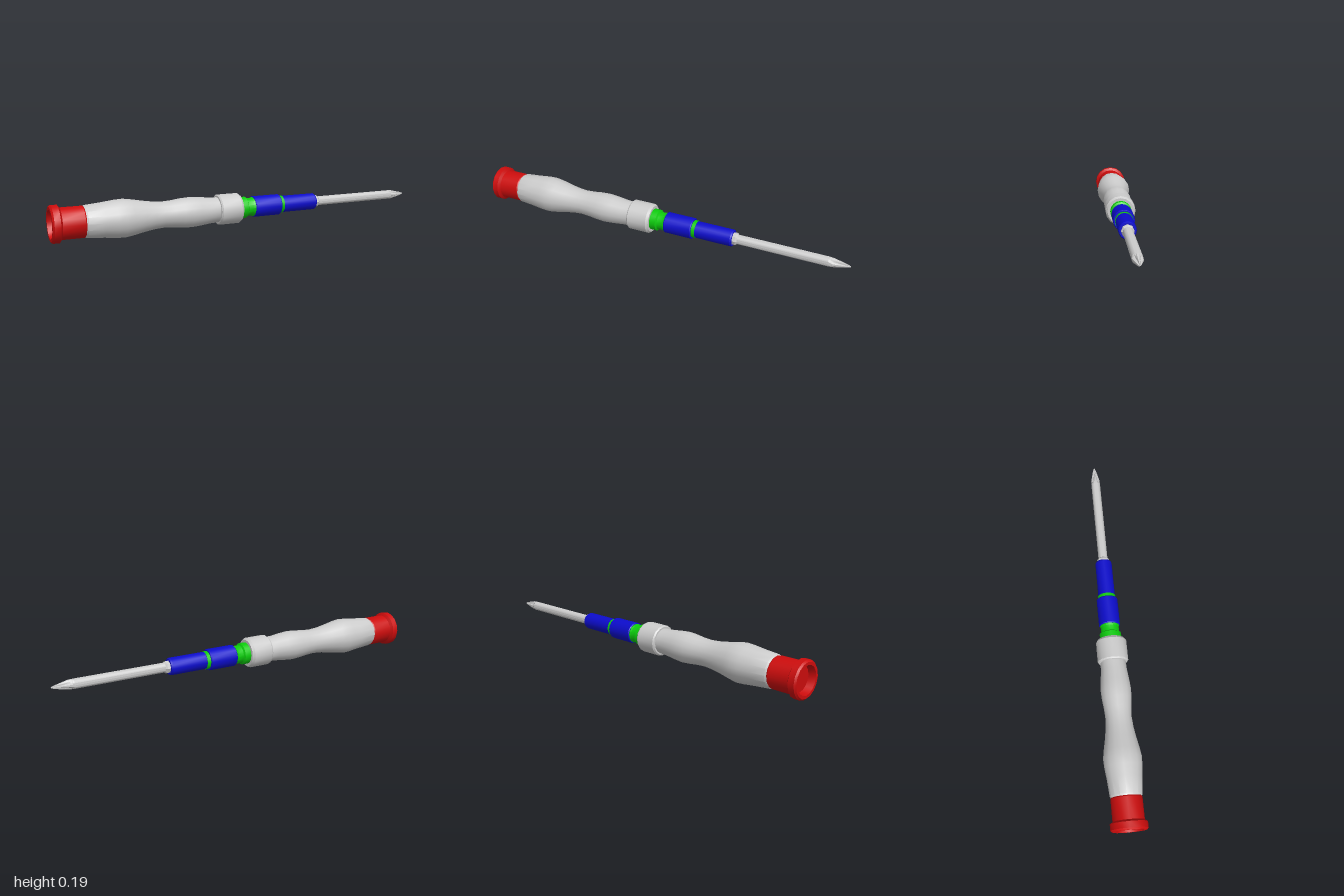
import * as THREE from 'three';
import { toCreasedNormals } from 'three/addons/utils/BufferGeometryUtils.js';

const AXIS_Y = 0.096;

function material(name, color) {
  const m = new THREE.MeshStandardMaterial({ color });
  m.name = name;
  return m;
}

// Turned part along x; the profile is a list of [x, radius].
function turned(name, mat, profile, sides = 16) {
  const points = profile.map(([x, r]) => new THREE.Vector2(r, x));
  const geometry = new THREE.LatheGeometry(points, sides);
  geometry.rotateZ(-Math.PI / 2);
  const mesh = new THREE.Mesh(toCreasedNormals(geometry, 0.5), mat);
  mesh.name = name;
  return mesh;
}

// Tapering cross tip: rings [x, radius, flute depth] with four V flutes.
function crossTip(mat) {
  const rings = [[0.895, 0.0245, 0], [0.92, 0.0235, 0.35], [0.95, 0.0165, 0.55],
    [0.98, 0.0095, 0.6], [1.0, 0.003, 0.6]];
  const n = 32, positions = [], index = [];
  for (const [x, radius, depth] of rings) {
    for (let i = 0; i < n; i++) {
      const a = (i / n) * Math.PI * 2;
      const off = Math.abs((i % 8) - 4) / 4;
      const r = radius * (1 - depth * Math.max(0, 1 - off * 1.35));
      positions.push(x, r * Math.cos(a), r * Math.sin(a));
    }
  }
  for (let k = 0; k < rings.length - 1; k++) {
    for (let i = 0; i < n; i++) {
      const j = (i + 1) % n, a = k * n + i, b = k * n + j;
      index.push(a, b, b + n, a, b + n, a + n);
    }
  }
  // Closed point
  const last = (rings.length - 1) * n, centre = positions.length / 3;
  positions.push(1.0, 0, 0);
  for (let i = 0; i < n; i++) index.push(centre, last + i, last + ((i + 1) % n));
  const geometry = new THREE.BufferGeometry();
  geometry.setAttribute('position', new THREE.Float32BufferAttribute(positions, 3));
  geometry.setIndex(index);
  const mesh = new THREE.Mesh(toCreasedNormals(geometry, 0.5), mat);
  mesh.name = 'crossTip';
  return mesh;
}

export function createModel() {
  const grey = material('light grey', 0xcccccc);
  const red = material('red', 0xcc0c0c);
  const green = material('green', 0x0ccc0c);
  const blue = material('blue', 0x0c0ccc);

  const model = new THREE.Group();
  model.name = 'screwdriver';

  // Swivel cap with a dished end
  model.add(turned('swivelCap', red, [
    [-0.965, 0], [-0.965, 0.064], [-1.0, 0.07], [-1.0, 0.084], [-0.992, 0.092],
    [-0.962, 0.092], [-0.952, 0.078], [-0.845, 0.078], [-0.838, 0.074], [-0.838, 0],
  ]));

  // Contoured grip and its front collar
  model.add(turned('grip', grey, [
    [-0.84, 0], [-0.84, 0.076], [-0.832, 0.08], [-0.75, 0.087], [-0.69, 0.094], [-0.65, 0.096],
    [-0.61, 0.09], [-0.55, 0.078], [-0.5, 0.07], [-0.45, 0.066], [-0.4, 0.069],
    [-0.35, 0.075], [-0.305, 0.0775], [-0.26, 0.074], [-0.2, 0.067], [-0.155, 0.065], [-0.155, 0],
  ]));
  model.add(turned('collar', grey, [
    [-0.157, 0], [-0.157, 0.073], [-0.15, 0.079], [-0.045, 0.079], [-0.033, 0.07], [-0.033, 0],
  ]));

  // Inner sleeve, showing behind and between the barrels
  model.add(turned('innerSleeve', green, [
    [-0.04, 0], [-0.04, 0.056], [0.0, 0.056], [0.006, 0.047], [0.035, 0.047],
    [0.042, 0.05], [0.055, 0.05], [0.055, 0.046], [0.215, 0.046], [0.215, 0],
  ]));

  // Barrels
  model.add(turned('rearBarrel', blue, [
    [0.045, 0], [0.045, 0.052], [0.049, 0.055], [0.192, 0.055], [0.196, 0.052], [0.196, 0],
  ]));
  model.add(turned('frontBarrel', blue, [
    [0.208, 0], [0.208, 0.044], [0.405, 0.044], [0.412, 0.04], [0.412, 0],
  ]));

  // Bit holder, shaft and tip
  model.add(turned('bitCollar', grey, [
    [0.405, 0], [0.405, 0.032], [0.428, 0.032], [0.436, 0.025], [0.436, 0],
  ], 8));
  model.add(turned('shaft', grey, [[0.42, 0], [0.42, 0.0245], [0.895, 0.0245]]));
  model.add(crossTip(grey));

  for (const part of model.children) part.position.y = AXIS_Y;
  return model;
}
